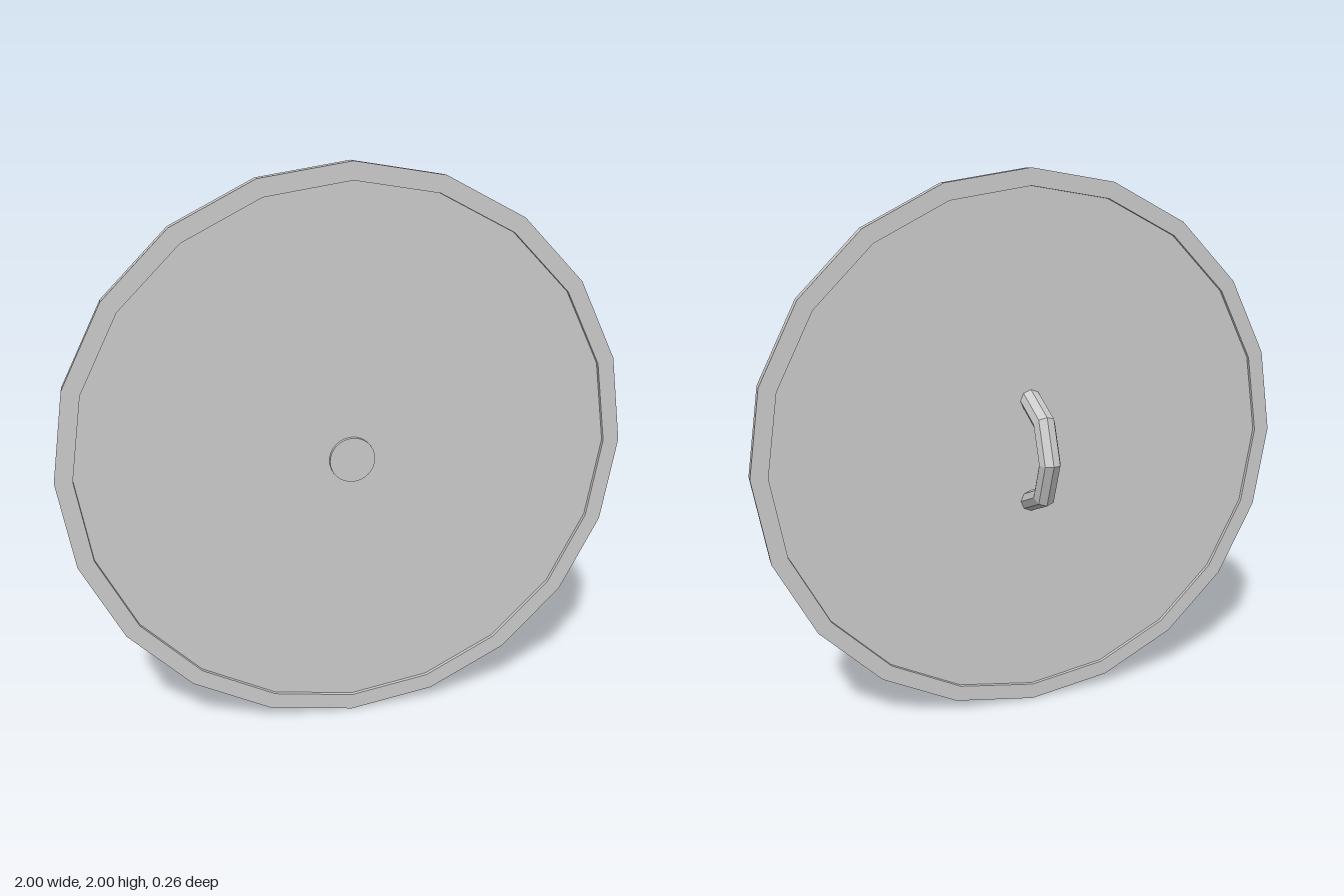
import * as THREE from 'three';
import { toCreasedNormals } from 'three/addons/utils/BufferGeometryUtils.js';

const SIDES = 20;
const BACK = 0.088, FRONT = 0.133; // rim depth range
const RECESS = 0.013; // how far the plate sits below the rim
const INNER = 0.94;

export function createModel() {
  const group = new THREE.Group();
  const smooth = new THREE.MeshStandardMaterial({ color: 0xcccccc });
  const faceted = new THREE.MeshStandardMaterial({ color: 0xcccccc, flatShading: true });

  const add = (name, geometry, material) => {
    const mesh = new THREE.Mesh(geometry, material);
    mesh.name = name;
    mesh.position.y = 1;
    group.add(mesh);
  };

  // Disc whose axis runs along z, from z0 to z1
  const disc = (radius, z0, z1, sides) =>
    new THREE.CylinderGeometry(radius, radius, z1 - z0, sides)
      .rotateX(Math.PI / 2)
      .translate(0, 0, (z0 + z1) / 2);

  // Raised rim: a rectangular section turned around the z axis
  const section = [
    [INNER, BACK], [1, BACK], [1, FRONT], [INNER, FRONT], [INNER, BACK],
  ].map(([r, z]) => new THREE.Vector2(r, z));
  const rim = new THREE.LatheGeometry(section, SIDES).rotateX(Math.PI / 2);
  add('rim', toCreasedNormals(rim, 0.5), smooth);

  // Flat plate, recessed on both faces
  add('plate', disc(INNER, BACK + RECESS, FRONT - RECESS, SIDES), smooth);

  // Small round boss in the middle of the front
  add('boss', disc(0.08, FRONT - RECESS - 0.005, FRONT, 32), smooth);

  // Half-ring grip on the back
  const handle = new THREE.TorusGeometry(0.19, 0.04, 8, 4, Math.PI)
    .rotateX(-Math.PI / 2)
    .rotateZ(Math.PI / 2)
    .translate(0, 0, BACK + RECESS);
  add('handle', handle, faceted);

  return group;
}
